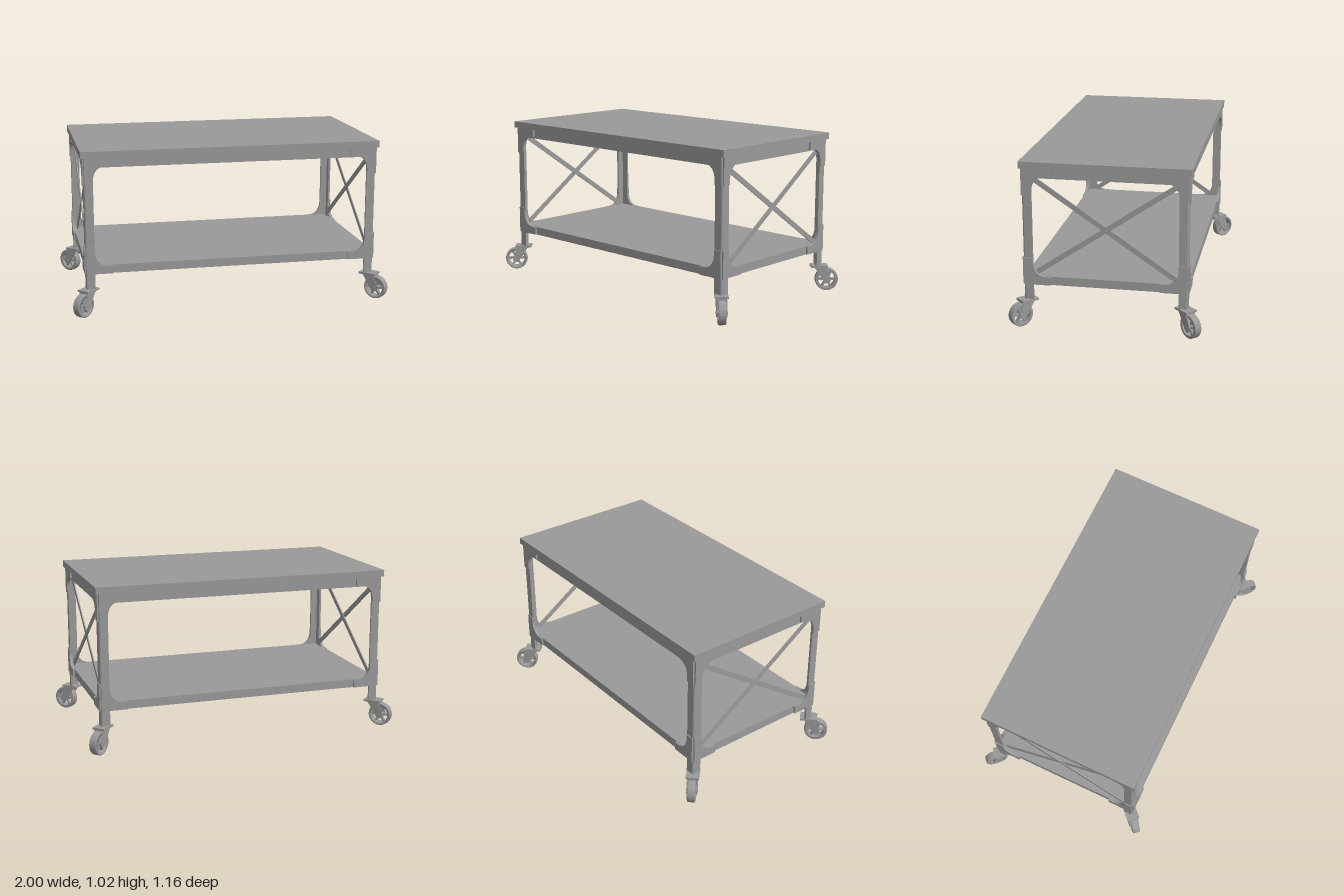
import * as THREE from 'three';

const grey = new THREE.MeshStandardMaterial({ color: 0x999999 });
const LEG_X = 0.8825, LEG_Z = 0.4625;

function add(parent, name, geometry, x = 0, y = 0, z = 0) {
  const mesh = new THREE.Mesh(geometry, grey);
  mesh.name = name;
  mesh.position.set(x, y, z);
  parent.add(mesh);
  return mesh;
}

const box = (w, h, d) => new THREE.BoxGeometry(w, h, d);

function extrude(shape, depth, curveSegments = 10) {
  return new THREE.ExtrudeGeometry(shape, { depth, bevelEnabled: false, curveSegments });
}

// Angle-iron section, outer corner rounded and turned towards +x, +z
function legGeometry(height) {
  const h = 0.0285, t = 0.013, r = 0.012, s = new THREE.Shape();
  s.moveTo(-h, -h);
  s.lineTo(h - r, -h);
  s.absarc(h - r, r - h, r, -Math.PI / 2, 0);
  s.lineTo(h, h);
  s.lineTo(h - t, h);
  s.lineTo(h - t, t - h);
  s.lineTo(-h, t - h);
  return extrude(s, height, 6).rotateX(-Math.PI / 2);
}

// Corner bracket in its own plane: the outer corner is at 0,0, arms run to +x and +y
function gussetGeometry() {
  const s = new THREE.Shape();
  s.moveTo(0.004, 0);
  s.lineTo(0.165, 0);
  s.lineTo(0.165, 0.05);
  s.lineTo(0.14, 0.05);
  s.bezierCurveTo(0.085, 0.052, 0.057, 0.085, 0.055, 0.14);
  s.lineTo(0.055, 0.168);
  s.lineTo(0.004, 0.168);
  return extrude(s, 0.019).translate(0, 0, -0.012);
}

// Caster rolling along local x, trailing outward from the leg at the origin
function caster() {
  const g = new THREE.Group();
  g.name = 'caster';
  add(g, 'mountingPlate', box(0.108, 0.012, 0.08), 0.02, 0.16, 0);
  add(g, 'forkBridge', box(0.084, 0.008, 0.06), 0.03, 0.151, 0);

  const arm = new THREE.Shape();
  arm.moveTo(-0.012, 0.156);
  arm.lineTo(0.06, 0.156);
  arm.lineTo(0.094, 0.08);
  arm.absarc(0.07, 0.073, 0.025, 0.28, -Math.PI * 0.9, true);
  for (const side of [-1, 1])
    add(g, 'forkArm', extrude(arm, 0.006), 0, 0, side * 0.029 - 0.003);

  const wheel = new THREE.Group();
  wheel.name = 'wheel';
  wheel.position.set(0.07, 0.073, 0);
  const profile = [[0.054, -0.023], [0.069, -0.024], [0.072, -0.021], [0.073, -0.016],
    [0.073, 0.016], [0.072, 0.021], [0.069, 0.024], [0.054, 0.023], [0.054, -0.023]];
  const rim = new THREE.LatheGeometry(profile.map(p => new THREE.Vector2(...p)), 40);
  add(wheel, 'rim', rim.rotateX(Math.PI / 2));
  add(wheel, 'hub', new THREE.CylinderGeometry(0.018, 0.018, 0.046, 24).rotateX(Math.PI / 2));
  add(wheel, 'axle', new THREE.CylinderGeometry(0.008, 0.008, 0.07, 12).rotateX(Math.PI / 2));
  for (let i = 0; i < 6; i++) {
    const spoke = box(0.044, 0.012, 0.024).translate(0.036, 0, 0);
    add(wheel, 'spoke', spoke.rotateZ(i * Math.PI / 3));
  }
  g.add(wheel);
  return g;
}

// One corner, modelled at +x, +z and mirrored to the others
function corner(sx, sz) {
  const g = new THREE.Group();
  g.name = 'corner';
  g.scale.set(sx, 1, sz);
  const leg = add(g, 'leg', legGeometry(0.812), LEG_X, 0.164, LEG_Z);
  leg.name = 'leg';

  const wheelUnit = caster();
  wheelUnit.position.set(LEG_X, 0, LEG_Z);
  wheelUnit.rotation.y = -Math.PI / 4;
  g.add(wheelUnit);

  for (const [y, sy] of [[0.977, -1], [0.261, 1]]) {
    const long = add(g, 'longSideBracket', gussetGeometry(), 0.91, y, 0.49);
    long.scale.set(-1, sy, 1);
    const end = add(g, 'endBracket', gussetGeometry(), 0.91, y, 0.49);
    end.rotation.y = Math.PI / 2;
    end.scale.y = sy;
  }
  return g;
}

export function createModel() {
  const model = new THREE.Group();
  model.name = 'rollingTable';

  // Table top, the solid frame below it, and the shelf
  add(model, 'tableTop', box(1.855, 0.041, 1.01), 0, 0.9965, 0);
  add(model, 'upperFrame', box(1.81, 0.062, 0.97), 0, 0.947, 0);
  add(model, 'lowerShelf', box(1.81, 0.052, 0.97), 0, 0.287, 0);

  // Crossed braces at both ends
  for (const s of [-1, 1]) for (const t of [-1, 1]) {
    const brace = add(model, 'crossBrace', box(0.006, 0.031, 1.03), s * (0.886 + t * 0.003), 0.615, 0);
    brace.rotation.x = t * Math.atan2(0.565, 0.83);
  }

  for (const sx of [-1, 1]) for (const sz of [-1, 1]) model.add(corner(sx, sz));
  return model;
}
